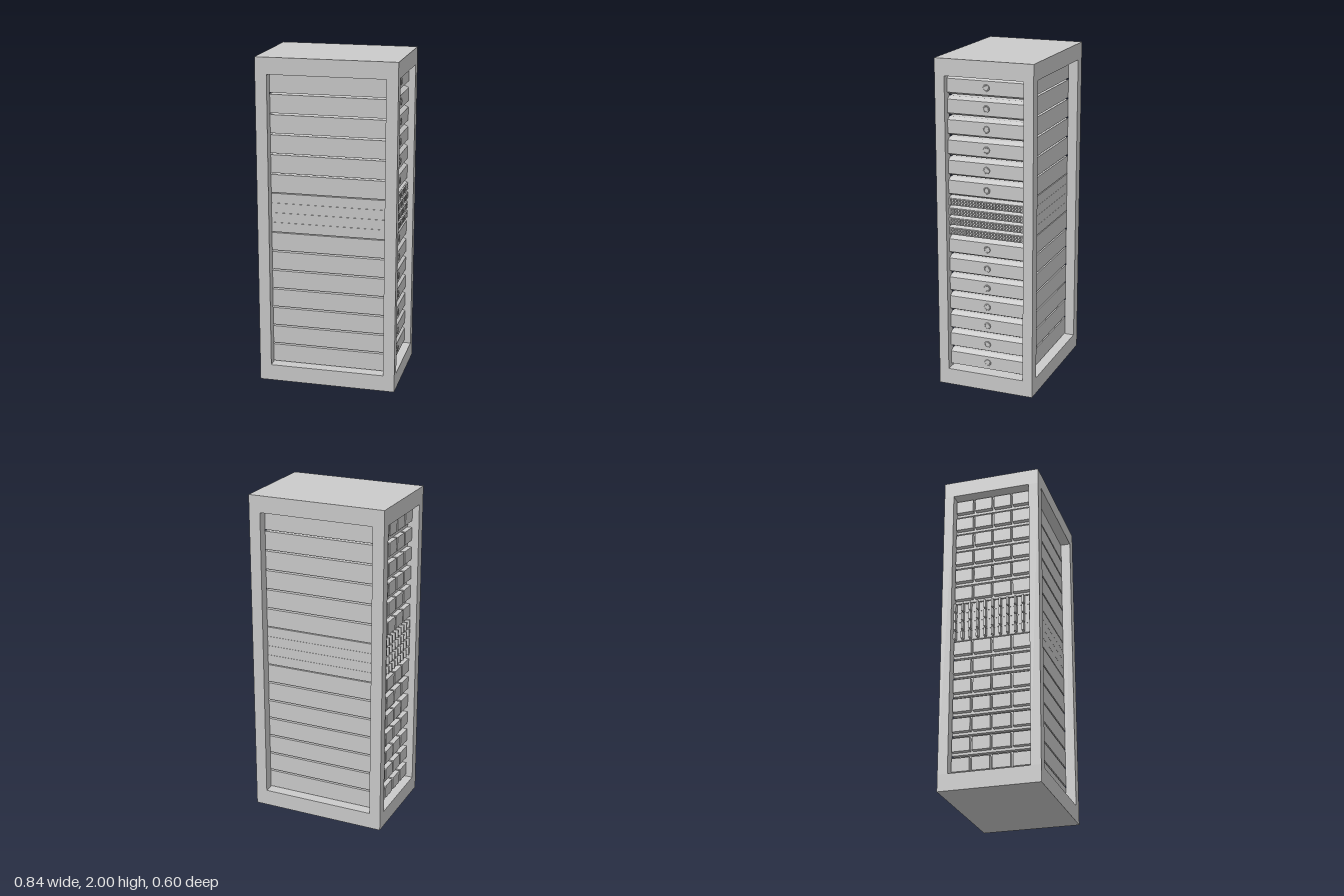
import * as THREE from 'three';

const mat = new THREE.MeshStandardMaterial({ color: 0xcccccc, flatShading: true });
const W = 0.42, D = 0.3;          // half width and half depth of the cabinet
const BX = 0.35, BZ = 0.24;       // half size of the unit bodies
const FACE = 0.38;                // x of the unit faces

function add(parent, name, geo, x = 0, y = 0, z = 0) {
  const m = new THREE.Mesh(geo, mat);
  m.name = name;
  m.position.set(x, y, z);
  parent.add(m);
  return m;
}

// Body with a face bevelled along its top and bottom edges, extruded along z
function bodyGeometry(h, bevel) {
  const s = new THREE.Shape([
    [-BX, -h], [BX, -h], [FACE, -h + bevel], [FACE, h - bevel], [BX, h], [-BX, h],
  ].map(([x, y]) => new THREE.Vector2(x, y)));
  const g = new THREE.ExtrudeGeometry(s, { depth: 2 * BZ, bevelEnabled: false });
  return g.translate(0, 0, -BZ);
}

// Thin plate with two rows of square sockets, facing +x
function portPlateGeometry(cols = 24) {
  const rect = (P, x, y, w, h) => new P([
    [x - w, y - h], [x + w, y - h], [x + w, y + h], [x - w, y + h],
  ].map(([a, b]) => new THREE.Vector2(a, b)));
  const s = rect(THREE.Shape, 0, 0, 0.228, 0.019);
  const pitch = 0.45 / cols;
  for (let i = 0; i < cols; i++)
    for (const y of [-0.009, 0.009])
      s.holes.push(rect(THREE.Path, (i - (cols - 1) / 2) * pitch, y, 0.0065, 0.0065));
  const g = new THREE.ExtrudeGeometry(s, { depth: 0.008, bevelEnabled: false });
  return g.rotateY(Math.PI / 2);
}

export function createModel() {
  const rack = new THREE.Group();
  rack.name = 'equipmentRack';

  // Cabinet frame: top, base and four corner posts
  const frame = new THREE.Group();
  frame.name = 'frame';
  rack.add(frame);
  const slab = new THREE.BoxGeometry(2 * W, 0.1, 2 * D);
  add(frame, 'base', slab, 0, 0.05, 0);
  add(frame, 'top', slab, 0, 1.95, 0);
  const post = new THREE.BoxGeometry(W - BX, 1.8, D - BZ);
  for (const sx of [-1, 1])
    for (const sz of [-1, 1])
      add(frame, 'cornerPost', post, sx * (W + BX) / 2, 1, sz * (D + BZ) / 2);

  // Large units: bevelled face with a round button, four modules behind
  const serverBody = bodyGeometry(0.055, 0.015);
  const ring = new THREE.TorusGeometry(0.017, 0.004, 6, 16).rotateY(Math.PI / 2);
  const button = new THREE.CylinderGeometry(0.014, 0.014, 0.006, 16).rotateZ(Math.PI / 2);
  const module = new THREE.BoxGeometry(0.03, 0.08, 0.106);
  for (let slot = 0; slot < 15; slot++) {
    if (slot === 7 || slot === 8) continue; // middle slots hold the switches
    const unit = new THREE.Group();
    unit.name = 'server';
    unit.position.y = 0.16 + slot * 0.12;
    add(unit, 'serverBody', serverBody);
    add(unit, 'buttonRing', ring, FACE);
    add(unit, 'button', button, FACE);
    for (let i = 0; i < 4; i++)
      add(unit, 'rearModule', module, -BX - 0.015, 0, (i - 1.5) * 0.12);
    rack.add(unit);
  }

  // Slim units: rows of sockets on the face, upright fins behind
  const switchBody = bodyGeometry(0.0295, 0.008);
  const plate = portPlateGeometry();
  const fin = new THREE.BoxGeometry(0.03, 0.05, 0.012);
  for (let i = 0; i < 4; i++) {
    const unit = new THREE.Group();
    unit.name = 'networkSwitch';
    unit.position.y = 0.97 + i * 0.06;
    add(unit, 'switchBody', switchBody);
    add(unit, 'socketPlate', plate, FACE);
    for (let k = 0; k < 11; k++)
      add(unit, 'rearFin', fin, -BX - 0.015, 0, (k - 5) * 0.0465);
    rack.add(unit);
  }
  return rack;
}
